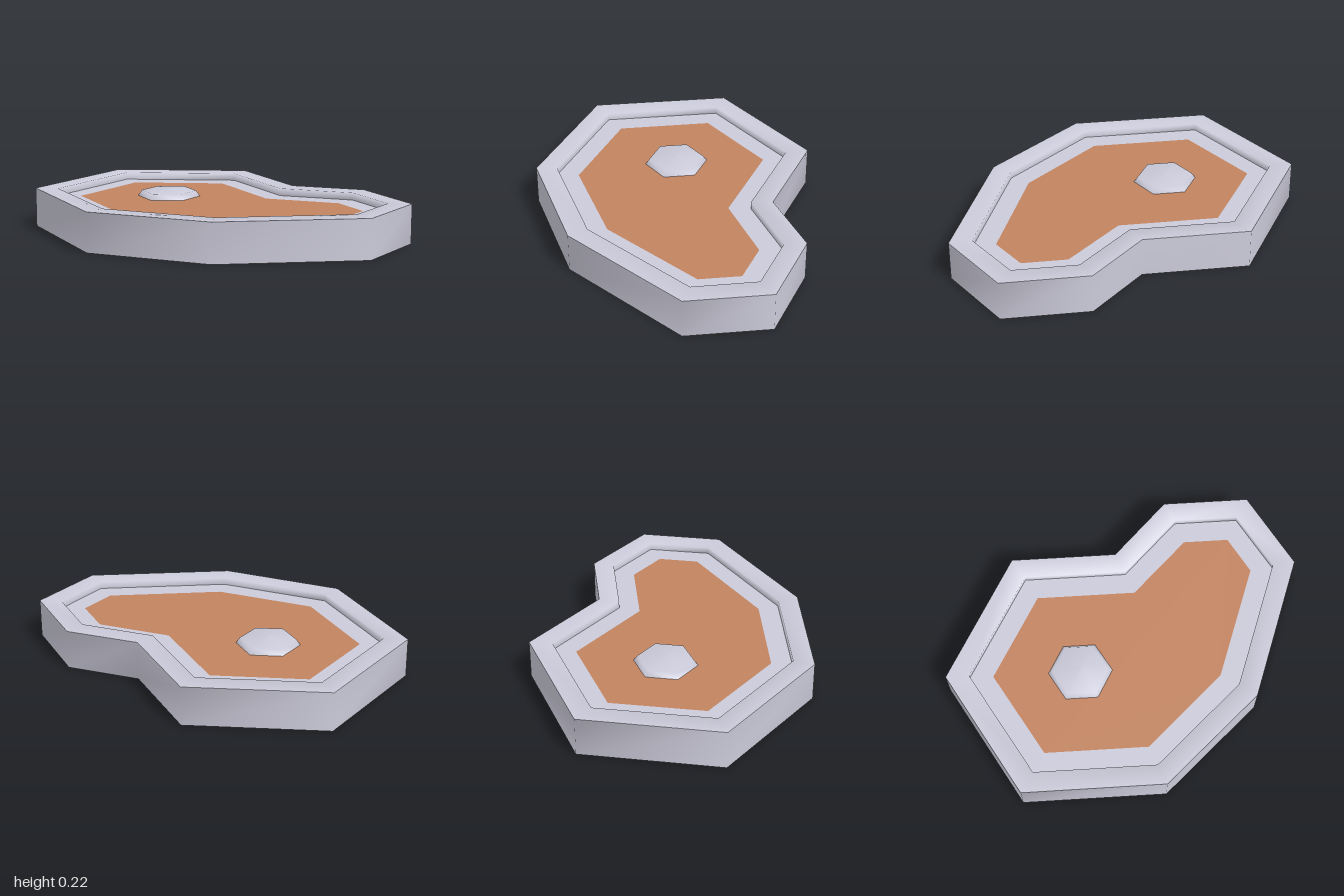
import * as THREE from 'three';

// Outlines as [x, z], clockwise seen from above
const outer = [[-0.15, -1], [0.53, -0.61], [0.53, -0.02], [0.83, 0.28], [0.83, 0.76], [0.42, 0.995], [-0.36, 0.71], [-0.83, 0.18], [-0.83, -0.61]];
const inner = [[-0.15, -0.87], [0.42, -0.54], [0.42, 0.03], [0.72, 0.335], [0.72, 0.69], [0.41, 0.87], [-0.29, 0.615], [-0.72, 0.135], [-0.72, -0.54]];
const bed = [[-0.15, -0.74], [0.305, -0.475], [0.305, 0.075], [0.6, 0.38], [0.6, 0.63], [0.4, 0.745], [-0.22, 0.52], [-0.605, 0.095], [-0.605, -0.475]];

const TOP = 0.222, FLOOR = 0.18;

// Smooth band joining a list of [outline, height] rings
function band(rings) {
  const pos = [], index = [], n = rings[0][0].length;
  for (const [outline, y] of rings) for (const [x, z] of outline) pos.push(x, y, z);
  for (let r = 0; r < rings.length - 1; r++) {
    for (let i = 0; i < n; i++) {
      const j = (i + 1) % n, a = r * n + i, b = r * n + j;
      index.push(a, a + n, b, b, a + n, b + n);
    }
  }
  const geo = new THREE.BufferGeometry();
  geo.setAttribute('position', new THREE.Float32BufferAttribute(pos, 3));
  geo.setIndex(index);
  geo.computeVertexNormals();
  return geo;
}

// Flat horizontal face, facing up (dir 1) or down (dir -1)
function flat(outline, y, dir, hole) {
  const pts = (o) => o.map(([x, z]) => new THREE.Vector2(x, -dir * z));
  const shape = new THREE.Shape(pts(outline));
  if (hole) shape.holes.push(new THREE.Path(pts(hole)));
  return new THREE.ShapeGeometry(shape).rotateX(-dir * Math.PI / 2).translate(0, y, 0);
}

export function createModel() {
  const model = new THREE.Group();
  const stone = new THREE.MeshStandardMaterial({ color: 0xcbcad9 });
  stone.name = 'paleStone';
  const clay = new THREE.MeshStandardMaterial({ color: 0xc2835f });
  clay.name = 'clay';

  const add = (name, geo, mat) => {
    const mesh = new THREE.Mesh(geo, mat);
    mesh.name = name;
    model.add(mesh);
    return mesh;
  };

  // Tray body
  add('outerWall', band([[outer, 0], [outer, TOP]]), stone);
  add('rim', band([[outer, TOP], [inner, TOP], [inner, FLOOR]]), stone);
  add('underside', flat(outer, 0, -1), stone);

  // Sunken floor with its coloured bed
  add('floorBorder', flat(inner, FLOOR, 1, bed), stone);
  add('bed', flat(bed, FLOOR, 1), clay);

  // Six-sided low dome
  const profile = [[0.178, FLOOR], [0.155, 0.212], [0, TOP]].map(([r, y]) => new THREE.Vector2(r, y));
  add('dome', new THREE.LatheGeometry(profile, 6), stone).position.set(-0.15, 0, -0.255);

  return model;
}
